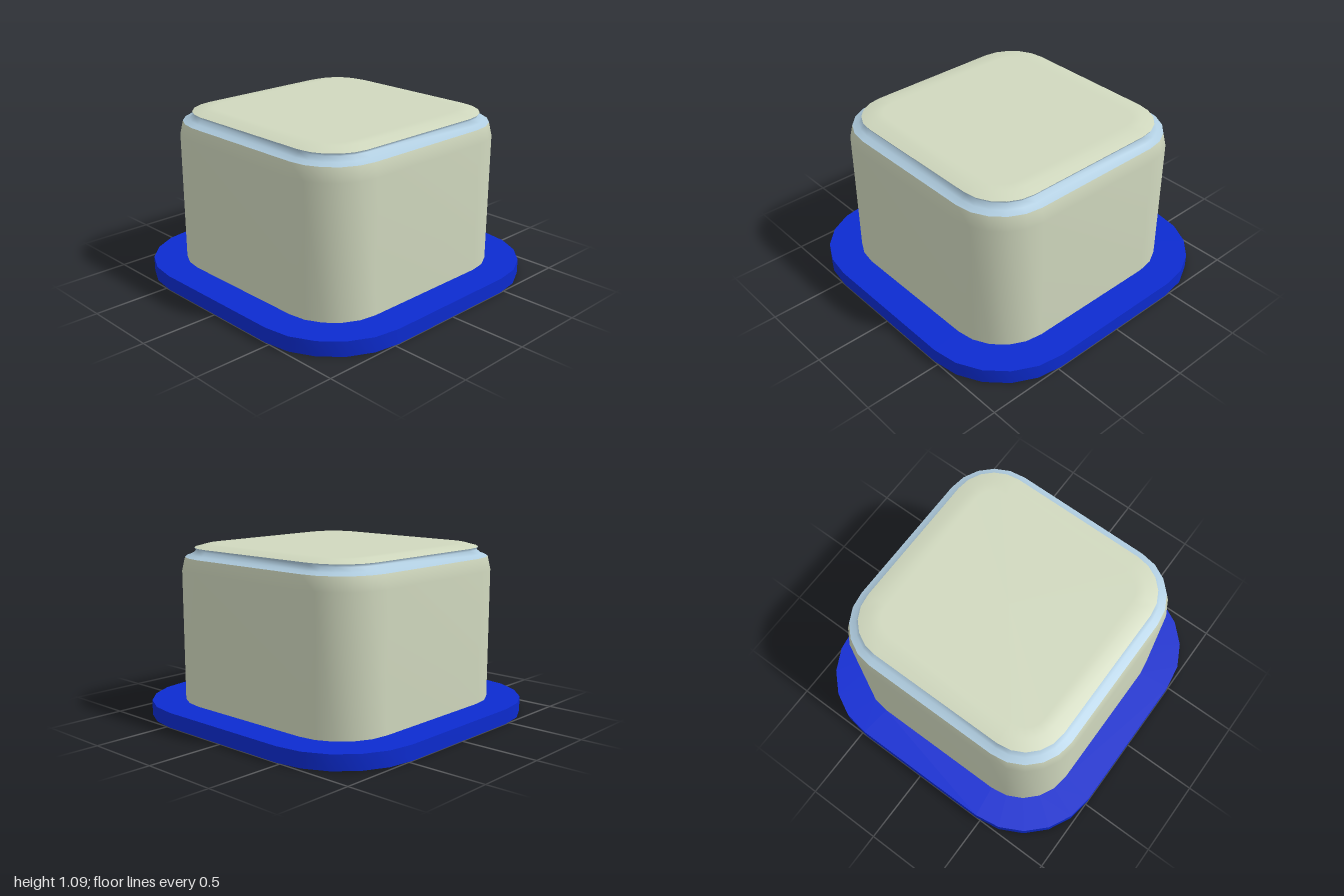
import * as THREE from 'three';
import { mergeGeometries } from 'three/addons/utils/BufferGeometryUtils.js';

const SEGMENTS = 5; // facets in each rounded corner

// Rounded-square outline: half = half width, centre = offset of the corner arc centres
function ring(half, y, centre) {
  const points = [];
  for (let q = 0; q < 4; q++) {
    const mid = (q + 0.5) * Math.PI / 2;
    const cx = Math.sign(Math.cos(mid)) * centre;
    const cz = Math.sign(Math.sin(mid)) * centre;
    for (let i = 0; i <= SEGMENTS; i++) {
      const a = (q + i / SEGMENTS) * Math.PI / 2;
      points.push(cx + Math.cos(a) * (half - centre), y, cz + Math.sin(a) * (half - centre));
    }
  }
  return points;
}

// Smooth skin through a stack of outlines, each [half, y, centre]
function loft(profile) {
  const n = 4 * (SEGMENTS + 1);
  const position = profile.flatMap(([half, y, centre = 0.445]) => ring(half, y, centre));
  const index = [];
  for (let row = 0; row < profile.length - 1; row++) {
    for (let i = 0; i < n; i++) {
      const a = row * n + i, b = row * n + (i + 1) % n;
      index.push(a, a + n, b + n, a, b + n, b);
    }
  }
  const geometry = new THREE.BufferGeometry();
  geometry.setAttribute('position', new THREE.Float32BufferAttribute(position, 3));
  geometry.setIndex(index);
  geometry.computeVertexNormals();
  return geometry;
}

export function createModel() {
  const group = new THREE.Group();
  const add = (name, color, geometry) => {
    const material = new THREE.MeshStandardMaterial({ color, side: THREE.DoubleSide });
    const mesh = new THREE.Mesh(geometry, material);
    mesh.name = name;
    group.add(mesh);
  };

  // Hollow base: rim wall and flat flange, open underneath
  add('baseFlange', 0x0c2bd0, mergeGeometries([
    loft([[1, 0, 0.47], [1, 0.095, 0.47]]),
    loft([[1, 0.095, 0.47], [0.795, 0.095]]),
  ]));

  // Hollow body with a softened shoulder
  add('body', 0xd0d8be, loft([[0.795, 0.095], [0.795, 0.93], [0.775, 1.015]]));

  // Sloping band between body and cap
  add('band', 0xb0cde0, loft([[0.775, 1.015], [0.735, 1.03], [0.705, 1.055], [0.715, 1.072]]));

  // Cap with a rounded edge and a flat top
  add('cap', 0xd0d8be, loft([[0.715, 1.072], [0.64, 1.092], [0.58, 1.092], [0, 1.092, 0]]));

  return group;
}
